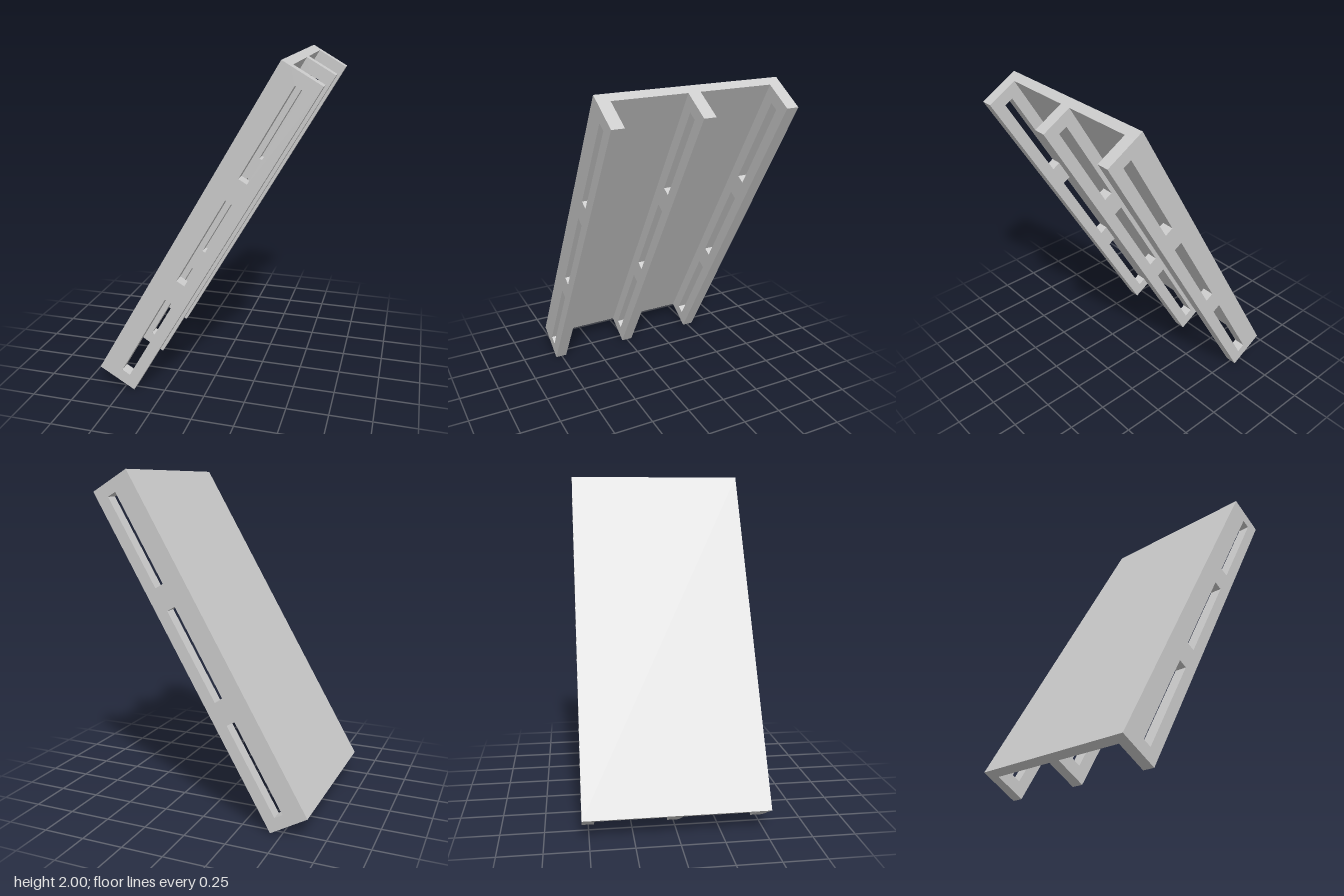
import * as THREE from 'three';

const LENGTH = 2.165, DEPTH = 0.25, WIDTH = 1.08; // panel size before leaning
const PLATE = 0.056, RIB = 0.072;
const SLOT = { count: 3, length: 0.578, near: 0.125, far: 0.18 };

function rectangle(path, x0, y0, x1, y1) {
  path.moveTo(x0, y0);
  path.lineTo(x1, y0);
  path.lineTo(x1, y1);
  path.lineTo(x0, y1);
  path.closePath();
  return path;
}

export function createModel() {
  const model = new THREE.Group();
  const material = new THREE.MeshStandardMaterial({ color: 0xcccccc, flatShading: true });

  // Leaning frame: local x runs through the depth, local y along the length
  const panel = new THREE.Group();
  panel.name = 'leaningPanel';
  panel.rotation.z = -Math.PI / 6;
  panel.position.set(-0.65, DEPTH / 2, 0);
  model.add(panel);

  // Flat back plate
  const plate = new THREE.Mesh(new THREE.BoxGeometry(PLATE, LENGTH, WIDTH), material);
  plate.name = 'backPlate';
  plate.position.set(PLATE / 2, LENGTH / 2, 0);
  panel.add(plate);

  // Rib outline with a row of long slots
  const outline = rectangle(new THREE.Shape(), PLATE, 0, DEPTH, LENGTH);
  const pitch = LENGTH / SLOT.count;
  for (let i = 0; i < SLOT.count; i++) {
    const start = pitch * (i + 0.5) - SLOT.length / 2;
    outline.holes.push(rectangle(new THREE.Path(), SLOT.near, start, SLOT.far, start + SLOT.length));
  }
  const ribGeometry = new THREE.ExtrudeGeometry(outline, { depth: RIB, bevelEnabled: false });
  ribGeometry.translate(0, 0, -RIB / 2);

  // Two edge ribs and one in the middle
  const edge = (WIDTH - RIB) / 2;
  [['leftRib', edge], ['middleRib', 0], ['rightRib', -edge]].forEach(([name, z]) => {
    const rib = new THREE.Mesh(ribGeometry, material);
    rib.name = name === 'leftRib' ? 'frontRib' : name === 'rightRib' ? 'backRib' : name;
    rib.position.z = z;
    panel.add(rib);
  });

  return model;
}
